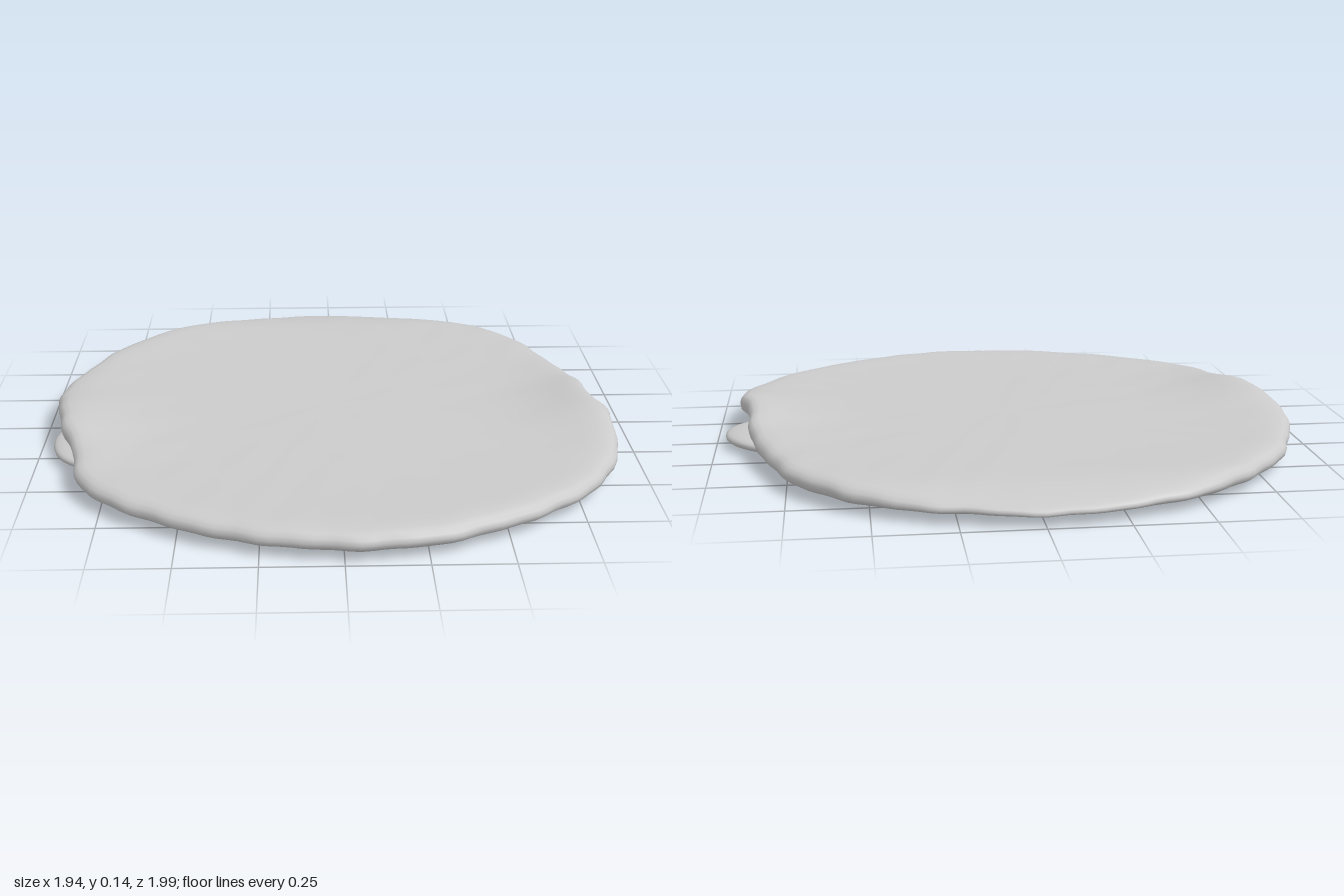
import * as THREE from 'three';

const material = new THREE.MeshStandardMaterial({ color: 0xcccccc, roughness: 0.9 });

// Edge of the slab as x, z pairs, clockwise from the back
const OUTLINE = [
  [0, -1], [0.2, -0.965], [0.4, -0.9], [0.6, -0.78], [0.73, -0.62], [0.82, -0.4],
  [0.875, -0.2], [0.89, 0], [0.93, 0.2], [0.91, 0.4], [0.82, 0.6], [0.6, 0.8],
  [0.33, 0.94], [0.06, 0.99], [-0.2, 0.955], [-0.45, 0.87], [-0.68, 0.72],
  [-0.82, 0.58], [-0.87, 0.36], [-0.94, 0.16], [-0.97, -0.15], [-0.9, -0.4],
  [-0.79, -0.61], [-0.61, -0.8], [-0.4, -0.92], [-0.2, -0.98],
];

// Section from top centre, round the rim, to bottom centre: radius share, height
const SECTION = [
  [0, 0.087], [0.15, 0.087], [0.3, 0.087], [0.45, 0.087], [0.58, 0.087], [0.7, 0.088],
  [0.8, 0.09], [0.87, 0.092], [0.92, 0.093], [0.96, 0.091], [0.982, 0.084], [0.995, 0.072],
  [1, 0.058], [0.996, 0.043], [0.982, 0.032], [0.95, 0.025], [0.9, 0.021], [0.8, 0.02],
  [0.65, 0.02], [0.45, 0.02], [0.2, 0.02], [0, 0.02],
];

const bump = (x, z, cx, cz, rx, rz) => Math.exp(-(((x - cx) / rx) ** 2) - ((z - cz) / rz) ** 2);

// How far the slab is pushed up over the two stones
const lift = (x, z) => 0.05 * bump(x, z, 0.92, 0.06, 0.19, 0.27) + 0.041 * bump(x, z, -0.92, 0.17, 0.2, 0.27);

// Soft hand-worked unevenness
const ripple = (x, z) =>
  0.0011 * Math.sin(17 * x + 5 * z) * Math.sin(21 * z - 4 * x + 1) +
  0.0009 * Math.sin(31 * x - 12 * z + 2) * Math.sin(27 * z + 9 * x);

function slabGeometry() {
  const n = 180;
  const curve = new THREE.CatmullRomCurve3(OUTLINE.map(([x, z]) => new THREE.Vector3(x, 0, z)), true);
  const rim = curve.getSpacedPoints(n).slice(0, n);
  const positions = [], indices = [];
  SECTION.forEach(([r, h]) => {
    rim.forEach((p, j) => {
      const a = (j / n) * Math.PI * 2;
      const rough = 1 + r ** 8 * 0.0025 * (Math.sin(23 * a) + Math.sin(41 * a + 1) + Math.sin(13 * a + 2) - 1);
      const x = p.x * r * rough, z = p.z * r * rough;
      // the back rim tapers to a thinner lip
      const taper = THREE.MathUtils.smoothstep(-z, 0.76, 1.02) * 0.5;
      const y = h - Math.max(0, h - 0.03) * taper + lift(x, z) * (h > 0.05 ? 1 : 0.75) + ripple(x, z);
      positions.push(x, y, z);
    });
  });
  for (let k = 0; k < SECTION.length - 1; k++) {
    for (let j = 0; j < n; j++) {
      const a = k * n + j, b = k * n + ((j + 1) % n), c = a + n, d = b + n;
      if (k > 0) indices.push(a, b, c);
      if (k < SECTION.length - 2) indices.push(b, d, c);
      else indices.push(a, b, c);
    }
  }
  // close the first ring of the top
  for (let j = 0; j < n; j++) indices.push(j, n + ((j + 1) % n), n + j);
  const g = new THREE.BufferGeometry();
  g.setAttribute('position', new THREE.Float32BufferAttribute(positions, 3));
  g.setIndex(indices);
  g.computeVertexNormals();
  return g;
}

// Flattened stone with an uneven plan, resting on the ground
function stoneGeometry(rx, ry, rz, phase) {
  const g = new THREE.SphereGeometry(1, 40, 20);
  const p = g.attributes.position;
  for (let i = 0; i < p.count; i++) {
    const x = p.getX(i), y = p.getY(i), z = p.getZ(i);
    const a = Math.atan2(z, x);
    const wobble = 1 + 0.035 * Math.sin(3 * a + phase) * (1 - y * y);
    const flat = Math.sign(y) * Math.pow(Math.abs(y), 0.8);
    p.setXYZ(i, x * rx * wobble, flat * ry, z * rz * wobble);
  }
  g.computeVertexNormals();
  return g;
}

export function createModel() {
  const group = new THREE.Group();
  const add = (name, geometry, x, y, z) => {
    const mesh = new THREE.Mesh(geometry, material);
    mesh.name = name;
    mesh.position.set(x, y, z);
    group.add(mesh);
  };
  add('slab', slabGeometry(), 0, 0, 0);
  add('leftStone', stoneGeometry(0.195, 0.033, 0.19, 0.5), 0.77, 0.033, -0.03);
  add('rightStone', stoneGeometry(0.195, 0.033, 0.19, 2), -0.765, 0.033, 0.2);
  return group;
}
